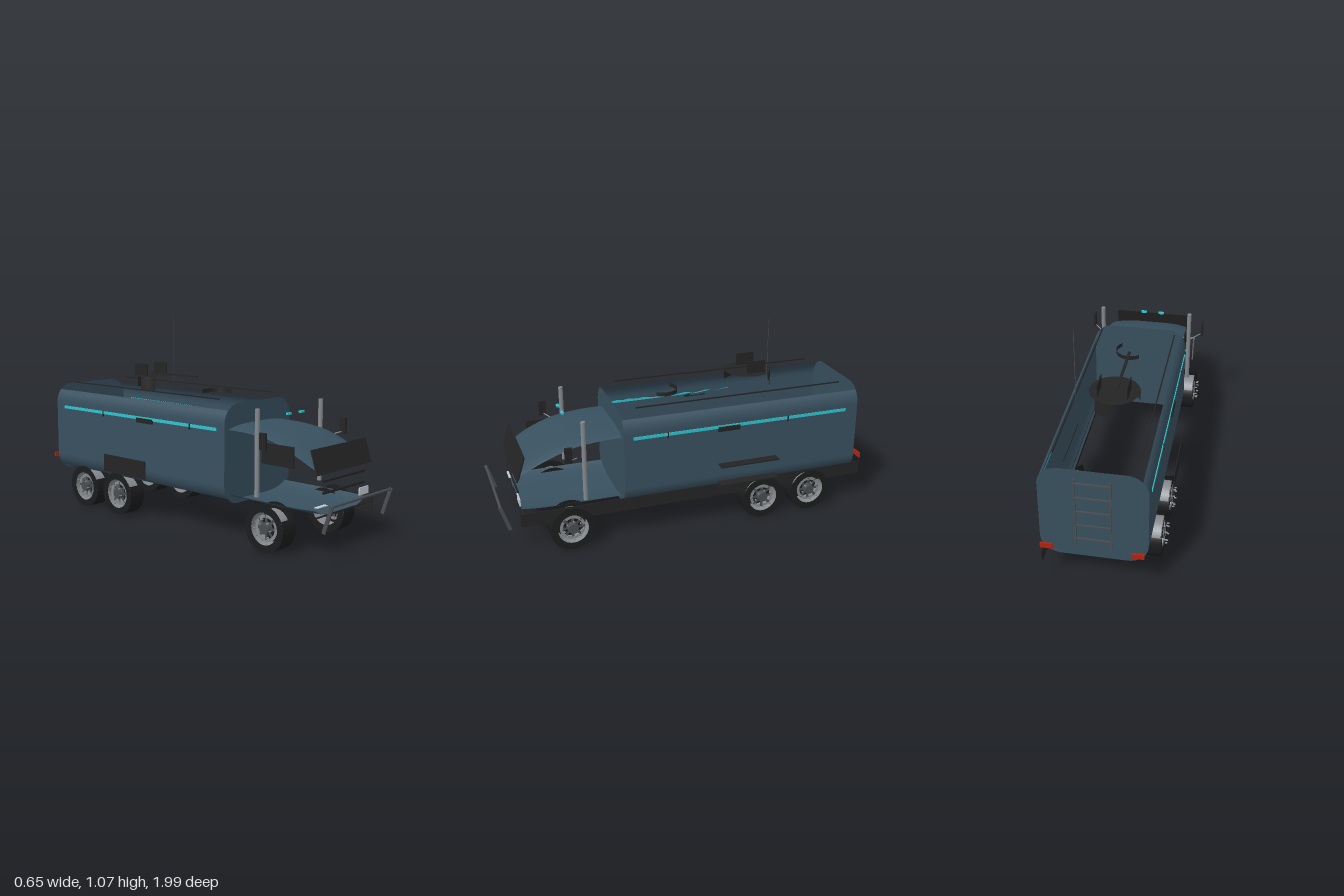
import * as THREE from 'three';
import { ParametricGeometry } from 'three/addons/geometries/ParametricGeometry.js';

const mat = (name, color) => {
  const m = new THREE.MeshStandardMaterial({ color, side: THREE.DoubleSide });
  m.name = name;
  return m;
};

export function createModel() {
  const root = new THREE.Group();
  root.name = 'expeditionTruck';
  const paint = mat('slateBluePaint', 0x38505f);
  const black = mat('blackTrim', 0x242424);
  const rubber = mat('tyreRubber', 0x1b1c1d);
  const steel = mat('steelGrey', 0x85898d);
  const darkSteel = mat('darkSteel', 0x4a4d50);
  const lamp = mat('paleLamp', 0xc4ccd2);
  const cyan = mat('cyanAccent', 0x2fc4cf);
  const red = mat('redLamp', 0xb3230f);

  const add = (name, geo, m, x = 0, y = 0, z = 0, parent = root) => {
    const mesh = new THREE.Mesh(geo, m);
    mesh.name = name;
    mesh.position.set(x, y, z);
    parent.add(mesh);
    return mesh;
  };
  // Box given by its min and max corners
  const box = (name, m, x0, x1, y0, y1, z0, z1) =>
    add(name, new THREE.BoxGeometry(x1 - x0, y1 - y0, z1 - z0), m, (x0 + x1) / 2, (y0 + y1) / 2, (z0 + z1) / 2);
  const rod = (name, m, a, b, r) => {
    const p = new THREE.Vector3(...a), q = new THREE.Vector3(...b);
    const mesh = add(name, new THREE.CylinderGeometry(r, r, p.distanceTo(q), 8), m);
    mesh.position.copy(p).lerp(q, 0.5);
    mesh.quaternion.setFromUnitVectors(new THREE.Vector3(0, 1, 0), q.sub(p).normalize());
    return mesh;
  };
  const sheet = (name, m, f, nu, nv) =>
    add(name, new ParametricGeometry((u, v, t) => t.set(...f(u, v)), nu, nv), m);

  // Cargo body: end walls and rounded side walls, open above and below
  const W = 0.255, Y0 = 0.17, Y1 = 0.67, R = 0.1, zF = 0.36, zB = -0.94;
  const end = new THREE.Shape();
  end.moveTo(-W + R, Y0);
  end.absarc(W - R, Y0 + R, R, -Math.PI / 2, 0);
  end.absarc(W - R, Y1 - R, R, 0, Math.PI / 2);
  end.absarc(-W + R, Y1 - R, R, Math.PI / 2, Math.PI);
  end.absarc(-W + R, Y0 + R, R, Math.PI, Math.PI * 1.5);
  add('bodyFrontWall', new THREE.ShapeGeometry(end, 12), paint, 0, 0, zF);
  add('bodyRearWall', new THREE.ShapeGeometry(end, 12), paint, 0, 0, zB);
  const A = 0.775;
  for (const s of [-1, 1]) {
    sheet('bodySide', paint, (u, v) => {
      const low = u < 0.5;
      const a = low ? -A * (1 - u / (10 / 21)) : A * (u - 11 / 21) / (10 / 21);
      return [s * (W - R + R * Math.cos(a)), (low ? Y0 + R : Y1 - R) + R * Math.sin(a), zF + (zB - zF) * v];
    }, 21, 1);
  }

  // Cab: curved bonnet roof and shallow floor pan
  const roof = new THREE.CatmullRomCurve3([[0.36, 0.565], [0.5, 0.56], [0.63, 0.54], [0.76, 0.49], [0.87, 0.43]]
    .map(([z, y]) => new THREE.Vector3(0, y, z)));
  const cabWidth = z => 0.223 - 0.02 * Math.max(0, (z - 0.7) / 0.17) ** 2;
  sheet('cabRoof', paint, (u, v) => {
    const p = roof.getPoint(v), t = u * 2 - 1;
    return [t * cabWidth(p.z), p.y - 0.02 * t ** 4, p.z];
  }, 16, 16);
  sheet('cabFloor', paint, (u, v) => {
    const z = 0.36 + 0.51 * v, t = u * 2 - 1;
    return [t * cabWidth(z), 0.19 + 0.035 * t ** 4, z];
  }, 16, 10);

  // Windscreen, side window, grille and lamps
  const screen = box('windscreen', black, -0.22, 0.22, 0.39, 0.511, 0.864, 0.872);
  screen.rotation.x = -0.3;
  box('sideWindow', black, -0.228, -0.222, 0.41, 0.51, 0.57, 0.76);
  for (const y of [0.36, 0.305]) box('grilleBar', black, -0.17, 0.17, y - 0.005, y + 0.005, 0.88, 0.888);
  box('grilleSill', black, -0.2, 0.2, 0.188, 0.194, 0.865, 0.872);
  box('headlamp', lamp, 0.13, 0.207, 0.243, 0.28, 0.88, 0.886);
  box('headlampSill', lamp, -0.207, -0.13, 0.24, 0.244, 0.865, 0.885);
  for (const x of [-0.08, 0.02]) box('markerLamp', cyan, x - 0.015, x + 0.015, 0.63, 0.64, 0.608, 0.622);

  // Bull bar
  rod('bullBar', darkSteel, [-0.25, 0.272, 0.985], [0.24, 0.272, 0.985], 0.007);
  for (const s of [-1, 1]) {
    const leg = box('bullBarLeg', darkSteel, s * 0.243 - 0.004, s * 0.243 + 0.004, 0.14, 0.28, 0.957, 0.975);
    leg.rotation.x = 0.32;
  }

  // Chassis side member and tail lamps
  box('chassisRail', black, 0.236, 0.241, 0.145, 0.215, -0.99, 0.89);
  for (const s of [-1, 1]) {
    box('tailLamp', red, s * 0.213 - 0.03, s * 0.213 + 0.03, 0.237, 0.265, -0.992, -0.984);
    // Exhaust stacks and mirrors
    rod('exhaustStack', steel, [s * 0.25, 0.25, 0.562], [s * 0.25, 0.67, 0.562], 0.012);
    box('mirror', black, s * 0.319 - 0.006, s * 0.319 + 0.006, 0.495, 0.575, 0.635, 0.672);
    rod('mirrorArm', steel, [s * 0.255, 0.485, 0.6], [s * 0.318, 0.505, 0.65], 0.003);
    // Side stripe, vents and roof rails
    box('sideStripe', cyan, s * 0.257 - 0.002, s * 0.257 + 0.002, 0.537, 0.553, -0.87, 0.31);
    box('sideVent', black, s * 0.26 - 0.005, s * 0.26 + 0.005, 0.521, 0.546, -0.26, -0.14);
    for (const z of [0.13, -0.53]) box('stripeClip', black, s * 0.26 - 0.003, s * 0.26 + 0.003, 0.525, 0.555, z - 0.003, z + 0.003);
    box('roofRail', black, s * 0.2 - 0.003, s * 0.2 + 0.003, 0.683, 0.689, -0.85, 0.28);
  }

  // Side lockers: shelves on the left, a panel on the right
  for (const y of [0.232, 0.335]) box('lockerShelf', black, 0.252, 0.305, y - 0.003, y + 0.003, -0.47, -0.145);
  box('lockerPanel', black, -0.311, -0.307, 0.235, 0.33, -0.47, -0.145);

  // Rear ladder
  for (const x of [-0.083, 0.083]) box('ladderRail', darkSteel, x - 0.004, x + 0.004, 0.24, 0.625, -0.953, -0.945);
  for (let i = 0; i < 5; i++) box('ladderRung', darkSteel, -0.083, 0.083, 0.276 + i * 0.08, 0.284 + i * 0.08, -0.953, -0.946);

  // Roof turntable with posts and boom
  const disc = add('turntableTop', new THREE.CircleGeometry(0.125, 40), black, 0, 0.745, -0.4);
  disc.rotation.x = -Math.PI / 2;
  for (const [a, l] of [[2.45, 0.7], [4.95, 0.65]])
    add('turntableWall', new THREE.CylinderGeometry(0.125, 0.125, 0.075, 10, 1, true, a, l), black, 0, 0.7075, -0.4);
  for (const x of [-0.073, 0.073]) box('turntablePost', black, x - 0.002, x + 0.002, 0.745, 0.81, -0.47, -0.37);
  box('boom', black, -0.018, -0.004, 0.754, 0.76, -0.4, -0.055);

  // Roof hatch collar and whip aerial
  add('hatchCollar', new THREE.CylinderGeometry(0.075, 0.075, 0.022, 20, 1, true, 0.8, Math.PI), black, 0.005, 0.688, 0.075);
  box('aerial', darkSteel, 0.185, 0.188, 0.69, 1.07, -0.431, -0.43);

  // Wheels: tread open at the top, pale rim barrel and bolted hub
  const ring = new THREE.RingGeometry(0.078, 0.114, 40);
  const tread = new THREE.CylinderGeometry(0.114, 0.114, 0.095, 32, 1, true, 1.1, Math.PI * 2 - 2.2);
  const barrel = new THREE.CylinderGeometry(0.083, 0.083, 0.08, 32, 1, true);
  const rim = new THREE.RingGeometry(0.05, 0.066, 32);
  const spoke = new THREE.PlaneGeometry(0.014, 0.045);
  const hub = new THREE.CylinderGeometry(0.026, 0.03, 0.03, 16);
  const nut = new THREE.CylinderGeometry(0.004, 0.004, 0.012, 6);
  for (const z of [0.64, -0.39, -0.665]) for (const s of [-1, 1]) {
    // Local +z points outward from the truck
    const wheel = new THREE.Group();
    wheel.name = 'wheel';
    wheel.position.set(s * 0.243, 0.117, z);
    wheel.rotation.y = s * Math.PI / 2;
    root.add(wheel);
    for (const d of [-0.0475, 0.0475]) add('tyreSidewall', ring, rubber, 0, 0, d, wheel);
    // Cylinder angle zero becomes straight up
    add('tyreTread', tread, rubber, 0, 0, 0, wheel).rotation.x = -Math.PI / 2;
    add('rimBarrel', barrel, steel, 0, 0, 0, wheel).rotation.x = -Math.PI / 2;
    add('rimRing', rim, steel, 0, 0, 0.03, wheel);
    add('hub', hub, darkSteel, 0, 0, 0.035, wheel).rotation.x = Math.PI / 2;
    for (let i = 0; i < 8; i++) {
      const a = i * Math.PI / 4, c = Math.cos(a), n = Math.sin(a);
      add('spoke', spoke, darkSteel, c * 0.04, n * 0.04, 0.03, wheel).rotation.z = a - Math.PI / 2;
      add('wheelNut', nut, steel, c * 0.048, n * 0.048, 0.062, wheel).rotation.x = Math.PI / 2;
    }
  }
  return root;
}
